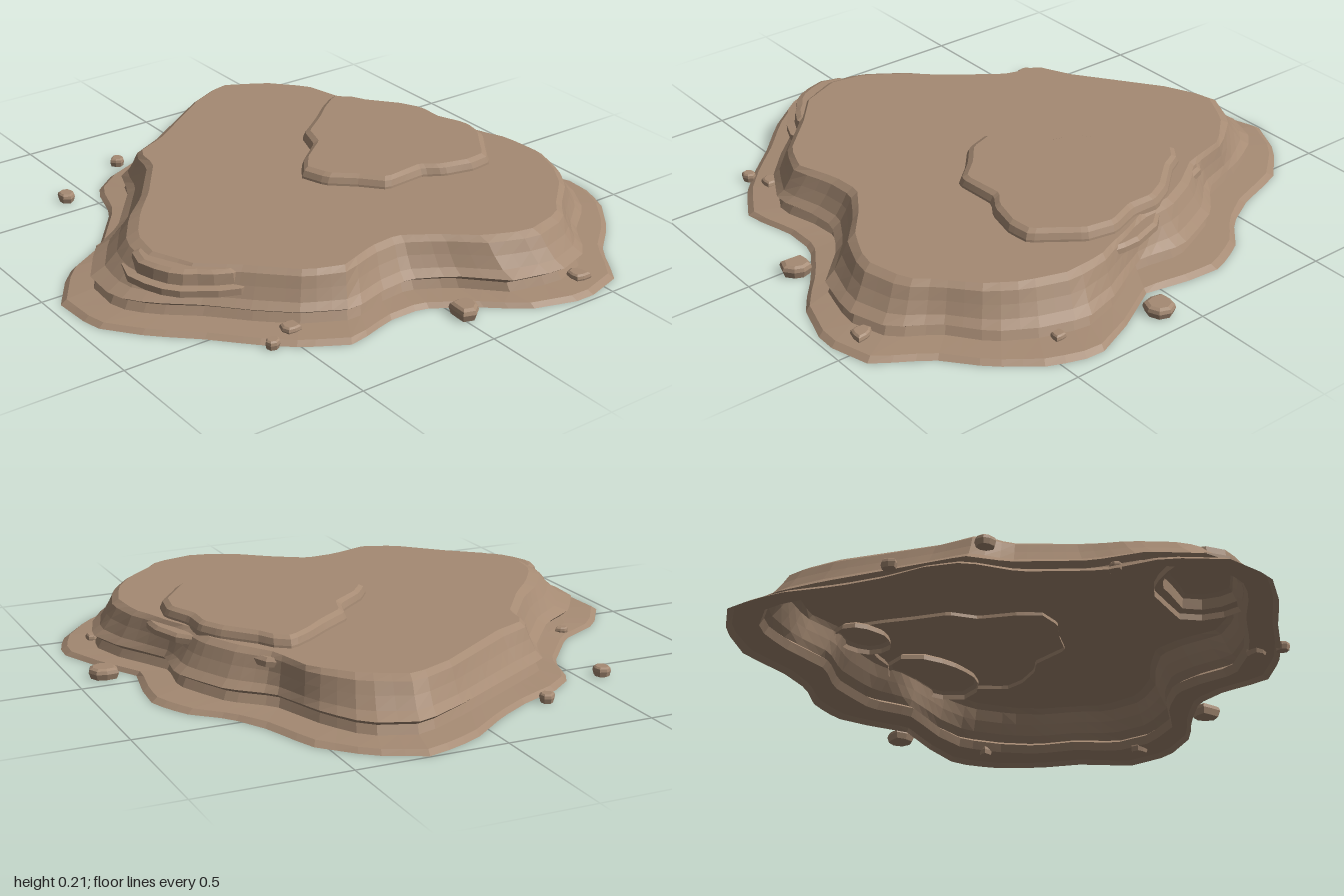
import * as THREE from 'three';

const N = 96;
const angle = (j) => (j / N) * Math.PI * 2;

// Outlines as x, z pairs, running round from the back
const SKIRT = [
  .25, -1, .41, -.92, .54, -.78, .60, -.59, .67, -.46, .78, -.36, .84, -.23, .83, -.10, .80, .05, .89, .21, .96, .38, .91, .53,
  .80, .67, .67, .78, .57, .94, .40, .99, .21, .93, .08, .82, -.06, .73, -.19, .73, -.36, .78, -.50, .70, -.60, .61, -.71, .49,
  -.84, .37, -.95, .23, -.96, .05, -.85, -.11, -.67, -.21, -.51, -.41, -.46, -.58, -.36, -.66, -.22, -.72, -.09, -.80, .07, -.93];
const RIM = [
  .22, -.89, .38, -.83, .46, -.69, .53, -.48, .65, -.37, .70, -.26, .74, -.16, .715, 0, .76, .09, .82, .20, .86, .34, .81, .49,
  .74, .61, .61, .71, .53, .84, .38, .89, .21, .85, .08, .72, -.05, .65, -.16, .66, -.30, .70, -.45, .62, -.55, .53, -.66, .41,
  -.79, .30, -.86, .20, -.85, .05, -.75, -.10, -.60, -.20, -.44, -.40, -.39, -.53, -.26, -.61, -.13, -.69, .03, -.79];
const TOP = [
  .20, -.78, .35, -.70, .46, -.58, .50, -.41, .58, -.29, .63, -.18, .64, -.07, .69, .04, .72, .13, .75, .20, .76, .34, .715, .48,
  .65, .58, .53, .69, .49, .74, .33, .78, .19, .72, .08, .63, -.03, .56, -.14, .57, -.28, .62, -.39, .58, -.53, .44, -.65, .34,
  -.71, .20, -.69, .08, -.60, -.05, -.50, -.16, -.37, -.34, -.36, -.45, -.23, -.51, -.09, -.61, .05, -.71];
const KNOLL = [
  .435, -.41, .49, -.37, .515, -.32, .61, -.21, .65, -.13, .65, -.03, .69, .08, .67, .185, .61, .265, .56, .335, .48, .345,
  .37, .32, .31, .28, .15, .29, .08, .21, 0, .14, -.03, .05, .02, -.02, .125, -.11, .16, -.21, .27, -.29, .35, -.355];

// Radius of an outline at N even angles round a centre
function radii(points, cx, cz) {
  const out = [];
  for (let j = 0; j < N; j++) {
    const dx = Math.cos(angle(j)), dz = Math.sin(angle(j));
    let best = 0;
    for (let i = 0; i < points.length; i += 2) {
      const k = (i + 2) % points.length;
      const ax = points[i] - cx, az = points[i + 1] - cz;
      const ex = points[k] - cx - ax, ez = points[k + 1] - cz - az;
      const det = dx * ez - dz * ex;
      if (Math.abs(det) < 1e-9) continue;
      const r = (ax * ez - az * ex) / det;
      const s = (ax * dz - az * dx) / det;
      if (r > 0 && s >= -1e-6 && s <= 1 + 1e-6) best = Math.max(best, r);
    }
    out.push(best);
  }
  return out;
}

const blend = (a, b, t) => a.map((r, j) => r + (b[j] - r) * t);
const inset = (a, d) => a.map((r) => r - d);

// Open-bottomed shell through rings of [radii, y], closed by a flat cap
function loft(cx, cz, rings) {
  const pos = [], index = [], n = rings[0][0].length;
  for (const [rs, y] of rings) {
    rs.forEach((r, j) => {
      const a = (j / n) * Math.PI * 2;
      pos.push(cx + r * Math.cos(a), y, cz + r * Math.sin(a));
    });
  }
  const last = rings.length - 1, centre = rings.length * n;
  pos.push(cx, rings[last][1], cz);
  for (let j = 0; j < n; j++) {
    const k = (j + 1) % n;
    for (let i = 0; i < last; i++) {
      const a = i * n + j, b = i * n + k;
      index.push(a, a + n, b, b, a + n, b + n);
    }
    index.push(centre, last * n + k, last * n + j);
  }
  const indexed = new THREE.BufferGeometry();
  indexed.setAttribute('position', new THREE.Float32BufferAttribute(pos, 3));
  indexed.setIndex(index);
  const geometry = indexed.toNonIndexed();
  geometry.computeVertexNormals();
  return geometry;
}

let seed = 7;
const random = () => (seed = (seed * 16807) % 2147483647) / 2147483647;

// Rough ellipse, with its long axis turned by `turn` from x towards z
function roughEllipse(n, long, short, turn, rough) {
  return Array.from({ length: n }, (_, j) => {
    const a = (j / n) * Math.PI * 2 - turn;
    const r = (long * short) / Math.hypot(short * Math.cos(a), long * Math.sin(a));
    return r * (1 + (random() - 0.5) * rough);
  });
}

export function createModel() {
  const stone = new THREE.MeshStandardMaterial({ color: 0xa58a73, flatShading: true, side: THREE.DoubleSide });
  stone.name = 'sandstone';
  const model = new THREE.Group();
  model.name = 'rockPlateau';
  const add = (name, geometry) => {
    const mesh = new THREE.Mesh(geometry, stone);
    mesh.name = name;
    model.add(mesh);
  };

  // Ground skirt, undercut rim, sloping cliff and flat top
  const cx = 0.05, cz = 0.05;
  const skirt = radii(SKIRT, cx, cz), rim = radii(RIM, cx, cz), top = radii(TOP, cx, cz);
  add('plateau', loft(cx, cz, [
    [skirt, 0],
    [blend(skirt, rim, 0.2), 0.014],
    [inset(rim, 0.01), 0.022],
    [inset(rim, 0.025), 0.05],
    [rim, 0.066],
    [blend(rim, top, 0.3), 0.088],
    [blend(rim, top, 0.55), 0.125],
    [blend(rim, top, 0.75), 0.162],
    [top, 0.178],
  ]));

  // Raised knoll on the plateau
  const kx = 0.36, kz = 0;
  const knoll = radii(KNOLL, kx, kz);
  add('knoll', loft(kx, kz, [
    [knoll, 0.165],
    [inset(knoll, 0.003), 0.185],
    [inset(knoll, 0.012), 0.204],
    [inset(knoll, 0.03), 0.214],
  ]));

  // Stepped ledge on the front corner of the cliff
  const step = roughEllipse(18, 0.23, 0.16, Math.PI / 4, 0.12);
  add('steppedLedge', loft(-0.6, 0.275, [
    [step, 0.1], [step, 0.122], [inset(step, 0.03), 0.126], [inset(step, 0.035), 0.162], [inset(step, 0.055), 0.17],
  ]));

  // Thin ledges along the side cliff: x, z, long, short, turn
  for (const [x, z, long, short, turn] of [[0.6, 0.03, 0.21, 0.135, 1.3], [0.47, -0.36, 0.12, 0.09, 1.1]]) {
    const edge = roughEllipse(16, long, short, turn, 0.08);
    add('sideLedge', loft(x, z, [[edge, 0.138], [inset(edge, 0.002), 0.155], [inset(edge, 0.015), 0.165]]));
  }

  // Loose rocks: x, z, radius, base y, height
  for (const [x, z, r, y, h] of [
    [-0.58, -0.59, 0.034, 0, 0.032], [-0.285, -0.735, 0.027, 0, 0.03], [0.9, 0.085, 0.052, 0, 0.037],
    [0.025, 0.835, 0.05, 0, 0.042], [0.455, 0.885, 0.037, 0.005, 0.032], [-0.57, 0.645, 0.024, 0, 0.03],
    [-0.48, 0.615, 0.034, 0.005, 0.03], [0.83, 0.435, 0.024, 0.008, 0.03], [-0.68, -0.17, 0.024, 0.008, 0.025],
  ]) {
    const edge = roughEllipse(8, r, r * 0.9, random() * 6, 0.4);
    const scaled = (s) => edge.map((e) => e * s);
    add('looseRock', loft(x, z, [[scaled(0), y], [scaled(0.85), y], [edge, y + h * 0.55], [scaled(0.92), y + h * 0.85], [scaled(0.7), y + h]]));
  }
  return model;
}
